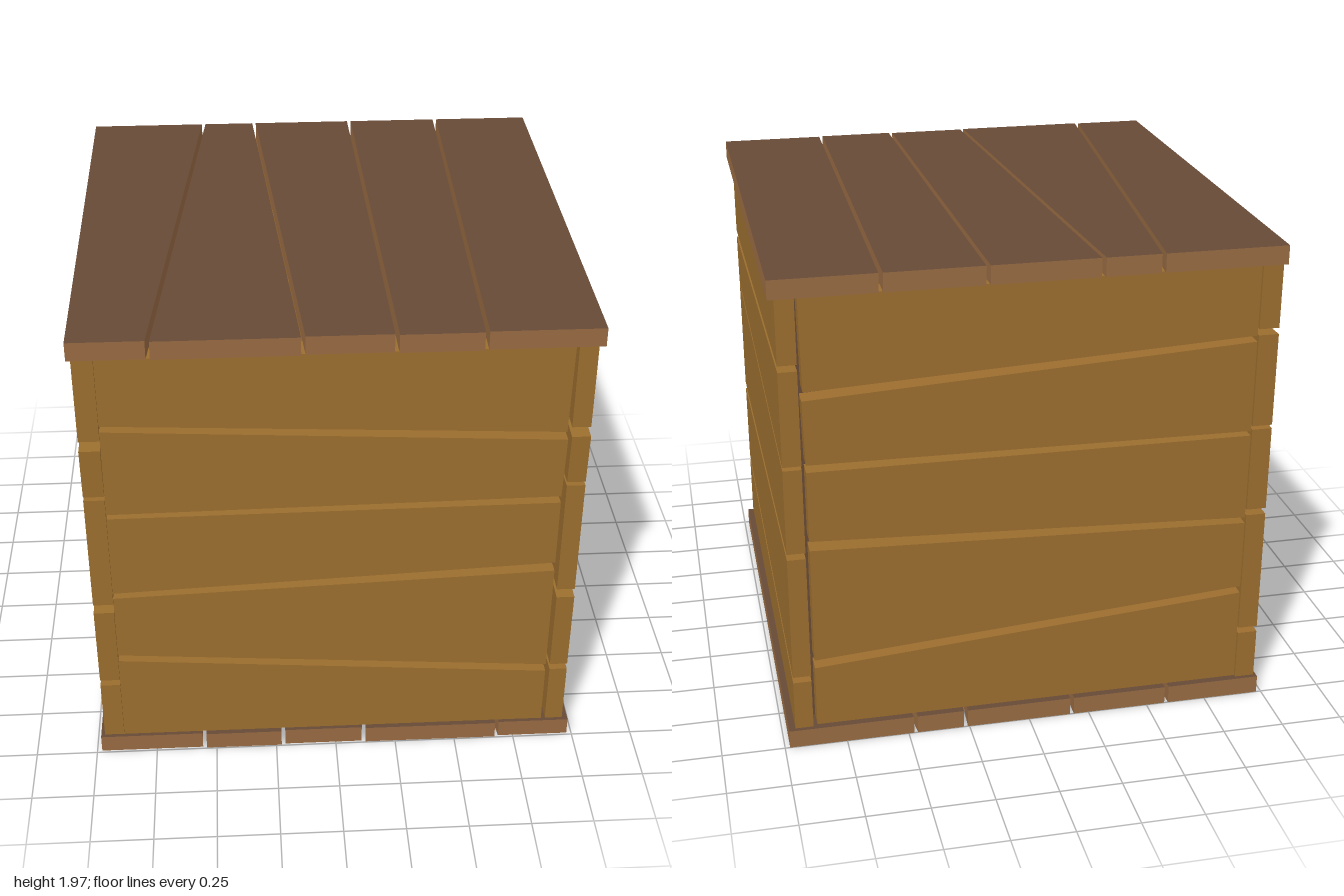
import * as THREE from 'three';

const wallWood = new THREE.MeshStandardMaterial({ color: 0x9c6e2e });
wallWood.name = 'ochre wood';
const darkWood = new THREE.MeshStandardMaterial({ color: 0x674a36 });
darkWood.name = 'dark brown wood';
const edgeWood = new THREE.MeshStandardMaterial({ color: 0x986b42 });
edgeWood.name = 'light brown plank edge';

// Flat four-cornered board, corners counter-clockwise, extruded along +z
function board(corners, thickness) {
  const shape = new THREE.Shape(corners.map(([x, y]) => new THREE.Vector2(x, y)));
  return new THREE.ExtrudeGeometry(shape, { depth: thickness, bevelEnabled: false });
}

// Slanted boards between gaps; each gap is [lower, upper] at the start and at the end.
// ends(i) gives the board's [start bottom, start top, end top, end bottom] positions.
function wallBoards(gaps, low, high, ends, thickness) {
  const edges = [[low, low, low, low], ...gaps, [high, high, high, high]];
  return edges.slice(1).map((upper, i) => {
    const lower = edges[i];
    const [sb, st, et, eb] = ends(i);
    return board([[sb, lower[1]], [eb, lower[3]], [et, upper[2]], [st, upper[0]]], thickness);
  });
}

export function createModel() {
  const crate = new THREE.Group();
  crate.name = 'crate';

  const add = (parent, geometry, material, name) => {
    const mesh = new THREE.Mesh(geometry, material);
    mesh.name = name;
    parent.add(mesh);
  };
  const group = (name) => {
    const g = new THREE.Group();
    g.name = name;
    crate.add(g);
    return g;
  };

  // Front and back walls, fitted between the side walls
  const frontGaps = [
    [0.48, 0.51, 0.345, 0.38],
    [0.80, 0.825, 0.865, 0.905],
    [1.185, 1.205, 1.195, 1.225],
    [1.58, 1.605, 1.485, 1.52],
  ];
  for (const [name, z] of [['frontWall', 0.905], ['backWall', -0.985]]) {
    const wall = group(name);
    const ends = (i) => [-0.882, -0.882, 0.866 + (i > 2 ? 0.006 : 0), 0.866];
    for (const g of wallBoards(frontGaps, 0.085, 1.89, ends, 0.08)) {
      add(wall, g.translate(0, 0, z), wallWood, 'wallPlank');
    }
  }

  // Side walls, running the full depth; start is the front end
  const sideGaps = [
    [0.355, 0.38, 0.295, 0.32],
    [0.735, 0.77, 0.84, 0.865],
    [1.275, 1.29, 1.215, 1.23],
    [1.505, 1.54, 1.61, 1.635],
  ];
  for (const [name, x] of [['leftWall', 0.883], ['rightWall', -0.963]]) {
    const wall = group(name);
    const ends = (i) => [-0.985, i === 3 ? -0.998 : i === 1 ? -0.992 : -0.987, 0.997, 0.997];
    for (const g of wallBoards(sideGaps, 0.085, 1.89, ends, x > 0 ? 0.072 : 0.08)) {
      add(wall, g.rotateY(Math.PI / 2).translate(x, 0, 0), wallWood, 'wallPlank');
    }
  }

  // Lid and base: tapering boards between joints given as [x at back, x at front]
  const panels = [
    ['lid', 1.89, [[-0.49, -0.685], [-0.26, -0.125], [0.175, 0.215], [0.57, 0.542]]],
    ['base', 0, [[-0.585, -0.55], [-0.18, -0.22], [0.265, 0.117], [0.47, 0.68]]],
  ];
  const half = 0.008;
  for (const [name, y, joints] of panels) {
    const panel = group(name);
    const lines = [[-0.98 - half, -0.98 - half], ...joints, [0.98 + half, 0.98 + half]];
    for (let i = 0; i < lines.length - 1; i++) {
      const [a, b] = [lines[i], lines[i + 1]];
      const front = i % 2 ? -0.996 : -0.99;
      const g = board([
        [a[1] + half, front], [b[1] - half, front],
        [b[0] - half, 1], [a[0] + half, 1],
      ], 0.075);
      // caps are dark, rims are lighter
      add(panel, g.rotateX(-Math.PI / 2).translate(0, y, 0), [darkWood, edgeWood], name + 'Plank');
    }
  }

  // Inner corner posts
  const posts = group('cornerPosts');
  for (const sx of [-1, 1]) {
    for (const sz of [-1, 1]) {
      const g = new THREE.BoxGeometry(0.118, 1.815, 0.118).translate(sx * 0.819, 0.9825, sz * 0.839);
      add(posts, g, darkWood, 'cornerPost');
    }
  }

  return crate;
}
